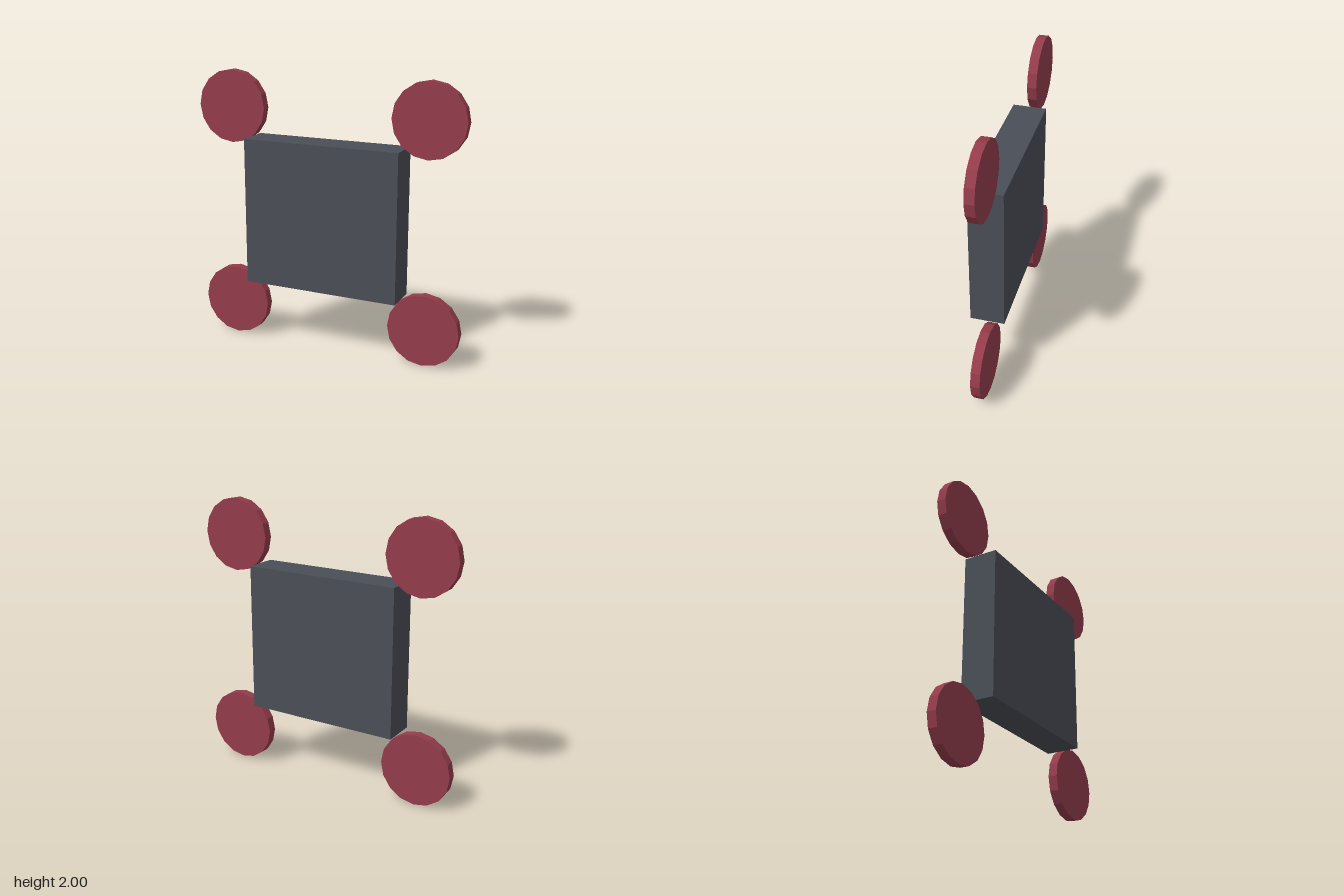
import * as THREE from 'three';

export function createModel() {
  const model = new THREE.Group();
  model.name = 'model';
  const slate = new THREE.MeshStandardMaterial({ color: 0x4a4e56, flatShading: true });
  const red = new THREE.MeshStandardMaterial({ color: 0x943c4b, flatShading: true });

  // Central slab
  const body = new THREE.Mesh(new THREE.BoxGeometry(1.15, 1.064, 0.242), slate);
  body.name = 'body';
  body.position.y = 1.004;
  model.add(body);

  // Sixteen-sided discs touching the four corners, set just behind the middle plane
  const discGeometry = new THREE.CylinderGeometry(0.2615, 0.2615, 0.066, 16).rotateX(Math.PI / 2);
  for (const [side, sx] of [['Left', 1], ['Right', -1]]) {
    for (const [level, sy] of [['upper', 1], ['lower', -1]]) {
      const disc = new THREE.Mesh(discGeometry, red);
      disc.name = `${level}${side}Disc`;
      disc.position.set(sx * 0.7385, 1 + sy * 0.7385, -0.034);
      model.add(disc);
    }
  }
  return model;
}
